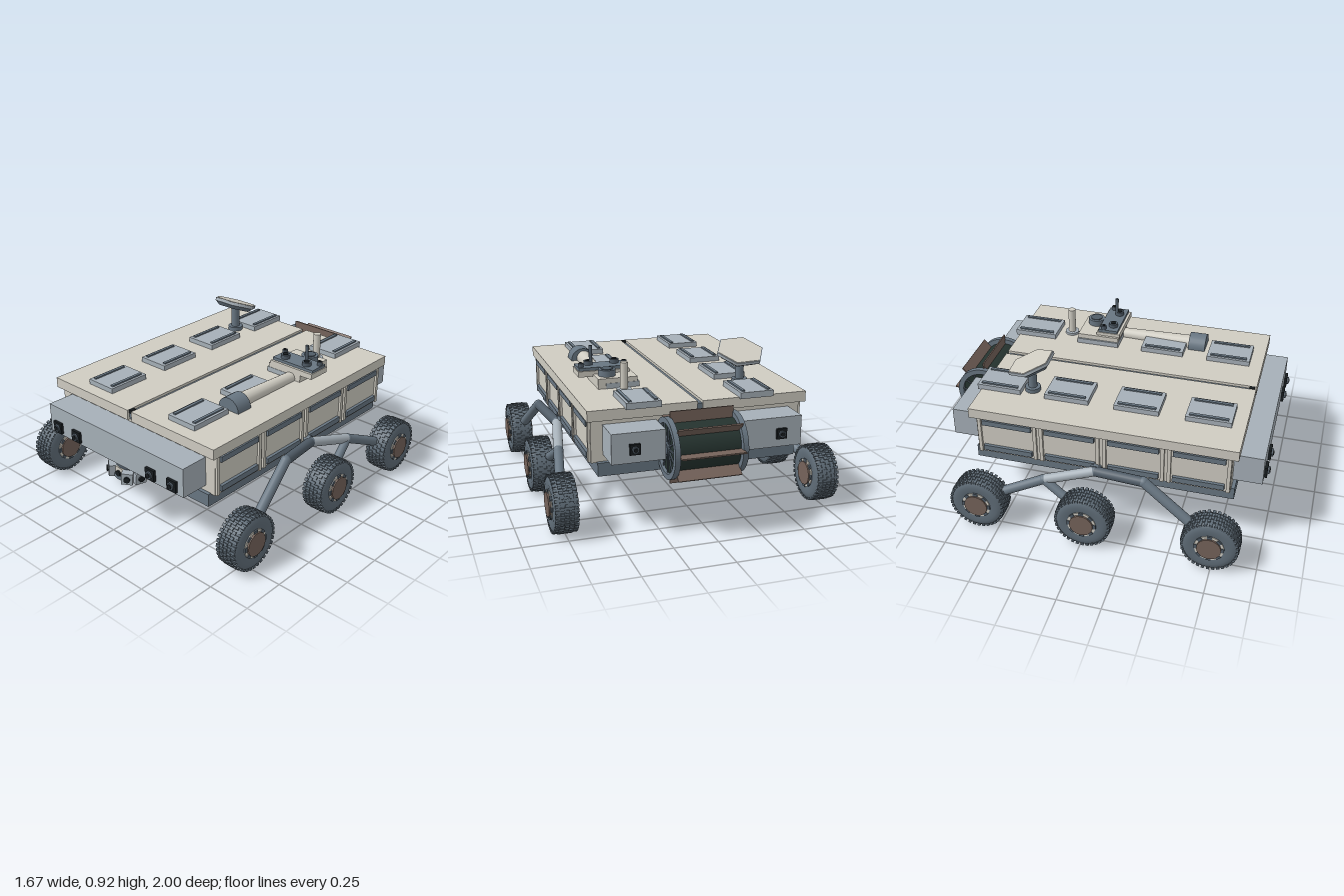
import * as THREE from 'three';
import { mergeGeometries } from 'three/addons/utils/BufferGeometryUtils.js';

const mat = (name, color) => {
  const m = new THREE.MeshStandardMaterial({ color });
  m.name = name;
  return m;
};

export function createModel() {
  const root = new THREE.Group();
  root.name = 'rover';
  const cream = mat('cream', 0xcfccc2), pale = mat('pale blue grey', 0xa6b0b8), slate = mat('slate', 0x687682);
  const dark = mat('dark slate', 0x505c67), tyreMat = mat('tyre grey', 0x5f6c77), brown = mat('brown', 0x75635a);
  const drumMat = mat('dark green', 0x25332f), black = mat('black', 0x171c1f);

  const add = (name, geo, m, x = 0, y = 0, z = 0, parent = root) => {
    const mesh = new THREE.Mesh(geo, m);
    mesh.name = name;
    mesh.position.set(x, y, z);
    parent.add(mesh);
    return mesh;
  };
  // box given by its limits
  const box = (name, m, x0, x1, y0, y1, z0, z1, parent = root) =>
    add(name, new THREE.BoxGeometry(x1 - x0, y1 - y0, z1 - z0), m, (x0 + x1) / 2, (y0 + y1) / 2, (z0 + z1) / 2, parent);
  // cylinder between two points
  const rod = (name, m, a, b, r0, r1 = r0, parent = root, seg = 20) => {
    const p = new THREE.Vector3(...a), q = new THREE.Vector3(...b), d = q.clone().sub(p);
    const c = p.clone().add(q).multiplyScalar(0.5);
    const mesh = add(name, new THREE.CylinderGeometry(r1, r0, d.length(), seg), m, c.x, c.y, c.z, parent);
    mesh.quaternion.setFromUnitVectors(new THREE.Vector3(0, 1, 0), d.normalize());
    return mesh;
  };

  // chassis and hull
  box('chassis', slate, -0.57, 0.57, 0.32, 0.395, -0.69, 0.82);
  box('hull', cream, -0.6, 0.6, 0.39, 0.635, -0.665, 0.8);
  box('deckSeam', slate, -0.02, 0.02, 0.63, 0.675, -0.69, 0.82);
  box('seamLatch', black, -0.013, 0.013, 0.67, 0.692, 0.795, 0.825);
  for (const s of [-1, 1]) {
    box('deckHalf', cream, s < 0 ? -0.625 : 0.015, s < 0 ? -0.015 : 0.625, 0.63, 0.69, -0.7, 0.835);
    // side bays with upper and lower rails
    for (let i = 0; i < 4; i++) {
      const z = 0.622 - i * 0.368;
      for (const [y0, y1] of [[0.584, 0.616], [0.41, 0.443]]) {
        const rail = box('sideRail', slate, -0.012, 0.012, y0, y1, z - 0.145, z + 0.145);
        rail.position.x = s * 0.606;
      }
      for (const e of [-1, 1])
        box('sideRib', cream, -0.008, 0.008, 0.395, 0.632, z - 0.01, z + 0.01).position.set(s * 0.606, 0.513, z + e * 0.165);
    }
    // deck hatches with dark side strips
    [-0.592, -0.188, 0.22, 0.628].forEach((z) => {
      const x = s * 0.322;
      box('hatch', pale, x - 0.097, x + 0.097, 0.685, 0.72, z - 0.13, z + 0.13);
      for (const e of [-1, 1])
        box('hatchStrip', slate, x + e * 0.073 - 0.009, x + e * 0.073 + 0.009, 0.715, 0.728, z - 0.11, z + 0.11);
    });
  }

  // square camera facing forward (dir 1) or backward (dir -1)
  const camera = (x, y, z, dir, size = 0.066) => {
    const g = new THREE.Group();
    g.name = 'hazardCamera';
    g.position.set(x, y, z);
    if (dir < 0) g.rotation.y = Math.PI;
    box('cameraCase', black, -size / 2, size / 2, -size / 2, size / 2, -0.01, 0.016, g);
    rod('cameraBarrel', dark, [0, 0, 0.01], [0, 0, 0.026], size * 0.33, size * 0.33, g);
    rod('cameraLens', black, [0, 0, 0.02], [0, 0, 0.03], size * 0.2, size * 0.2, g);
    root.add(g);
  };

  // front and rear equipment boxes
  box('frontBox', pale, -0.535, 0.535, 0.43, 0.6, 0.79, 0.965);
  [-0.46, -0.3, 0.3, 0.46].forEach((x) => camera(x, 0.478, 0.965, 1));
  box('rearBox', pale, -0.535, -0.185, 0.434, 0.6, -0.84, -0.66);
  box('rearBox', pale, 0.24, 0.535, 0.434, 0.6, -0.84, -0.66);
  [-0.415, 0.41].forEach((x) => camera(x, 0.51, -0.84, -1, 0.058));

  // rear drum with rims, spokes and paddles
  const drum = new THREE.Group();
  drum.name = 'drum';
  drum.position.set(0.028, 0.48, -0.8);
  root.add(drum);
  rod('drumCore', drumMat, [-0.185, 0, 0], [0.185, 0, 0], 0.137, 0.137, drum, 32);
  const rim = new THREE.Shape().absarc(0, 0, 0.167, 0, Math.PI * 2);
  rim.holes.push(new THREE.Path().absarc(0, 0, 0.136, 0, Math.PI * 2));
  const rimGeo = new THREE.ExtrudeGeometry(rim, { depth: 0.03, bevelEnabled: false, curveSegments: 32 });
  rimGeo.translate(0, 0, -0.015).rotateY(Math.PI / 2);
  for (const s of [-1, 1]) {
    add('drumRim', rimGeo, slate, s * 0.188, 0, 0, drum);
    rod('drumHub', dark, [s * 0.18, 0, 0], [s * 0.203, 0, 0], 0.035, 0.035, drum);
    for (let i = 0; i < 12; i++) {
      const spoke = new THREE.Group();
      spoke.name = 'drumSpoke';
      spoke.rotation.x = i * Math.PI / 6;
      box('spokeBar', dark, s * 0.187 - 0.006, s * 0.187 + 0.006, 0.03, 0.14, -0.004, 0.004, spoke);
      drum.add(spoke);
    }
  }
  for (let i = 0; i < 8; i++) {
    const arm = new THREE.Group();
    arm.name = 'drumPaddle';
    arm.rotation.x = i * Math.PI / 4;
    box('paddleBlade', brown, -0.178, 0.178, 0.13, 0.2, -0.004, 0.004, arm);
    drum.add(arm);
  }
  box('drumMount', pale, -0.15, 0.2, 0.45, 0.6, -0.71, -0.66);

  // wheels: rounded tyre, tread blocks, ring and hub
  const profile = [[0.07, -0.06], [0.09, -0.066], [0.12, -0.068], [0.142, -0.064], [0.154, -0.055], [0.159, -0.035]];
  const pts = [...profile, ...profile.map(([r, y]) => [r, -y]).reverse()].map(([r, y]) => new THREE.Vector2(r, y));
  const tyreGeo = new THREE.LatheGeometry(pts, 40).rotateZ(Math.PI / 2);
  const lugs = [];
  for (let i = 0; i < 34; i++) for (let j = -2; j <= 2; j++) {
    const lug = new THREE.BoxGeometry(0.022, 0.014, 0.017);
    lug.translate(j * 0.0265, Math.abs(j) === 2 ? 0.154 : 0.158, 0);
    lugs.push(lug.rotateX((i + (j % 2 ? 0.5 : 0)) * Math.PI * 2 / 34));
  }
  const treadGeo = mergeGeometries(lugs);
  for (const s of [-1, 1]) for (const z of [0.737, 0.014, -0.615]) {
    const w = new THREE.Group();
    w.name = 'wheel';
    w.position.set(s * 0.757, 0.165, z);
    root.add(w);
    add('tyre', tyreGeo, tyreMat, 0, 0, 0, w);
    add('tread', treadGeo, tyreMat, 0, 0, 0, w);
    rod('wheelRing', cream, [-0.069, 0, 0], [0.069, 0, 0], 0.083, 0.083, w, 32);
    rod('wheelHub', brown, [-0.08, 0, 0], [0.08, 0, 0], 0.068, 0.068, w, 24);
    for (let k = 0; k < 8; k++) {
      const tab = new THREE.Group();
      tab.name = 'ringTab';
      tab.rotation.x = k * Math.PI / 4;
      box('tabBlock', dark, -0.073, 0.073, 0.064, 0.084, -0.014, 0.014, tab);
      w.add(tab);
    }
  }

  // rocker and bogie tubes
  for (const s of [-1, 1]) {
    const front = [s * 0.755, 0.17, 0.72], knee = [s * 0.69, 0.435, 0.335], pivot = [s * 0.635, 0.405, 0.04];
    const bogie = [s * 0.69, 0.33, -0.245], rear = [s * 0.755, 0.175, -0.6], mid = [s * 0.74, 0.18, 0.0];
    rod('rockerFront', slate, front, knee, 0.029);
    rod('rockerBeam', dark, knee, pivot, 0.029);
    rod('rockerRear', pale, pivot, bogie, 0.029);
    rod('bogieRear', slate, bogie, rear, 0.028);
    rod('bogieMiddle', slate, bogie, mid, 0.026);
    rod('rockerPivot', slate, [s * 0.56, 0.405, 0.04], pivot, 0.035);
    [knee, pivot, bogie].forEach((p) => add('tubeJoint', new THREE.SphereGeometry(0.03, 16, 12), slate, ...p));
  }

  // tilted hexagonal antenna
  rod('antennaPole', slate, [-0.345, 0.69, -0.41], [-0.345, 0.86, -0.41], 0.025);
  rod('antennaFoot', slate, [-0.345, 0.69, -0.41], [-0.345, 0.715, -0.41], 0.045);
  const dish = new THREE.Group();
  dish.name = 'antenna';
  dish.position.set(-0.345, 0.866, -0.41);
  dish.rotation.x = -0.37;
  root.add(dish);
  const hex = (r0, r1, h) => new THREE.CylinderGeometry(r1, r0, h, 6).rotateY(Math.PI / 6 + 0.05).toNonIndexed();
  add('antennaBack', hex(0.11, 0.14, 0.025), slate, 0, -0.016, 0, dish);
  add('antennaRim', hex(0.142, 0.142, 0.018), pale, 0, 0.004, 0, dish);
  add('antennaFace', hex(0.136, 0.136, 0.006), cream, 0, 0.013, 0, dish);

  // folded mast lying on the deck
  box('mastBase', cream, 0.235, 0.465, 0.685, 0.748, -0.315, -0.06);
  box('mastShelf', cream, 0.25, 0.55, 0.735, 0.768, -0.2, -0.055);
  rod('mastBeam', cream, [0.395, 0.7, -0.06], [0.385, 0.705, 0.38], 0.035, 0.045);
  rod('mastHinge', slate, [0.392, 0.692, 0.365], [0.392, 0.692, 0.468], 0.072, 0.072, root, 28);
  rod('mastMotor', slate, [0.395, 0.74, -0.24], [0.395, 0.785, -0.24], 0.05);
  rod('motorCap', dark, [0.395, 0.78, -0.24], [0.395, 0.79, -0.24], 0.035);

  // camera head with lenses and whip
  box('cameraHead', slate, 0.255, 0.545, 0.765, 0.785, -0.19, -0.07);
  for (const [x, z, r] of [[0.317, -0.11, 0.027], [0.472, -0.11, 0.027], [0.272, -0.16, 0.016], [0.527, -0.16, 0.016]]) {
    rod('lensBarrel', dark, [x, 0.78, z], [x, 0.808, z], r);
    rod('lensGlass', black, [x, 0.806, z], [x, 0.812, z], r * 0.6);
  }
  rod('whip', dark, [0.46, 0.78, -0.125], [0.46, 0.9, -0.125], 0.01, 0.01, root, 10);
  rod('deckTube', cream, [0.335, 0.69, -0.385], [0.335, 0.855, -0.385], 0.022);
  rod('tubeCollar', pale, [0.335, 0.69, -0.385], [0.335, 0.705, -0.385], 0.042);

  // stowed tool turret under the front box
  const turret = new THREE.Group();
  turret.name = 'toolTurret';
  turret.position.set(-0.01, 0.345, 0.835);
  turret.rotation.z = -0.1;
  root.add(turret);
  rod('turretBody', dark, [0, -0.035, 0], [0, 0.07, 0], 0.085, 0.085, turret, 16);
  rod('turretPlate', slate, [0, -0.045, 0], [0, -0.02, 0], 0.1, 0.1, turret, 16);
  for (const a of [-1.3, -0.65, 0, 0.65, 1.3]) {
    const tool = new THREE.Group();
    tool.name = 'turretTool';
    tool.rotation.y = a;
    box('toolCase', a ? pale : cream, -0.032, 0.032, -0.045, 0.025, 0.06, a ? 0.125 : 0.09, tool);
    rod('toolTip', black, [0, -0.01, 0.08], [0, -0.01, a ? 0.135 : 0.1], 0.018, 0.018, tool, 12);
    turret.add(tool);
  }
  rod('armLink', slate, [-0.16, 0.435, 0.83], [0.25, 0.44, 0.83], 0.022);
  rod('armElbow', pale, [-0.16, 0.41, 0.835], [-0.16, 0.46, 0.835], 0.045);
  rod('armShoulder', pale, [0.26, 0.415, 0.835], [0.26, 0.46, 0.835], 0.05);

  return root;
}
